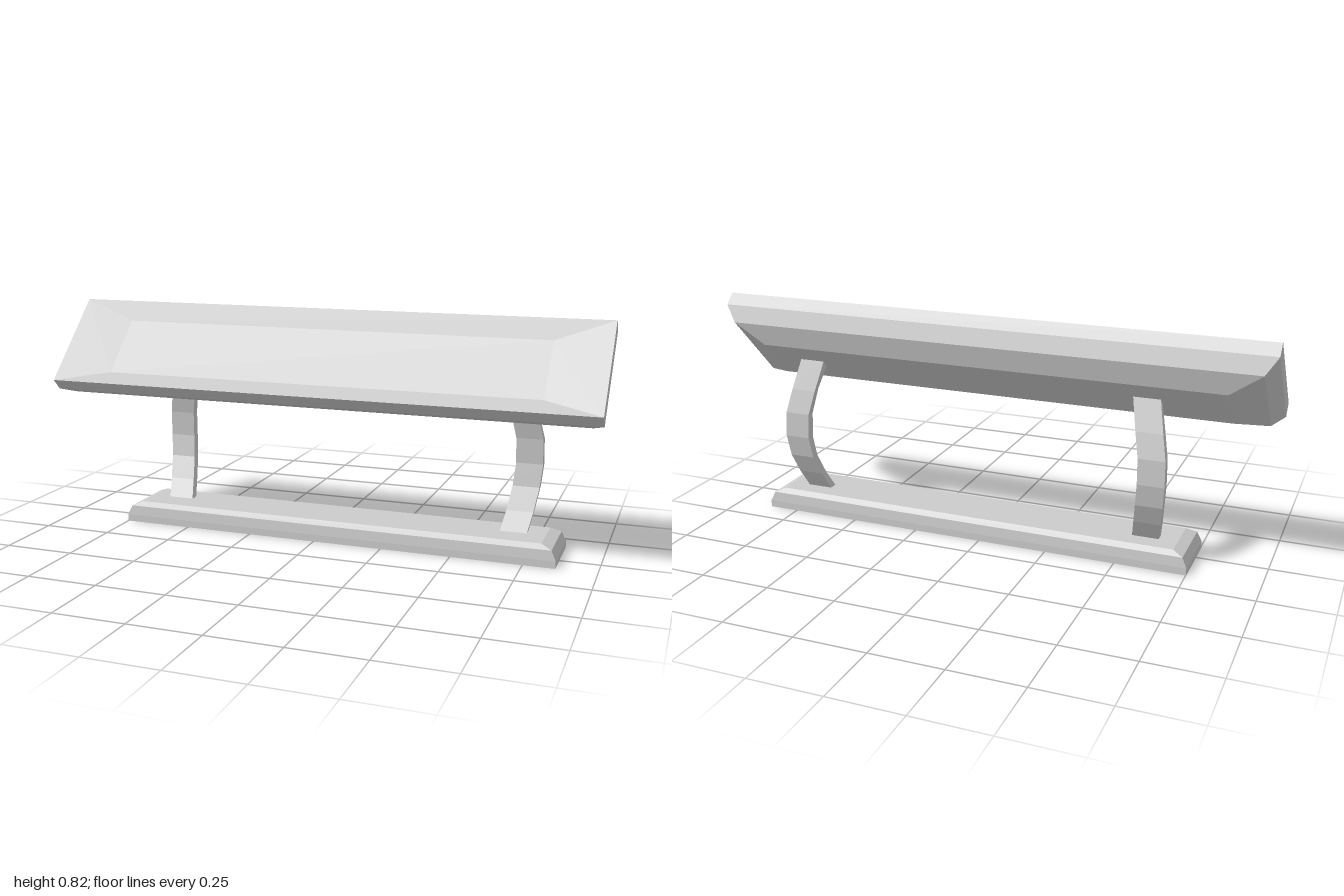
import * as THREE from 'three';

const material = new THREE.MeshStandardMaterial({ color: 0xcccccc, flatShading: true, side: THREE.DoubleSide });

// Skins a stack of four-cornered loops; each loop runs anticlockwise seen from the end of the stack
function loft(name, loops, capStart, capEnd) {
  const index = [];
  for (let i = 0; i < loops.length - 1; i++) {
    for (let j = 0; j < 4; j++) {
      const a = i * 4 + j, b = i * 4 + (j + 1) % 4;
      index.push(a, b, b + 4, a, b + 4, a + 4);
    }
  }
  const e = (loops.length - 1) * 4;
  if (capStart) index.push(0, 2, 1, 0, 3, 2);
  if (capEnd) index.push(e, e + 1, e + 2, e, e + 2, e + 3);
  const indexed = new THREE.BufferGeometry();
  indexed.setAttribute('position', new THREE.Float32BufferAttribute(loops.flat(2), 3));
  indexed.setIndex(index);
  const geometry = indexed.toNonIndexed();
  geometry.computeVertexNormals();
  const mesh = new THREE.Mesh(geometry, material);
  mesh.name = name;
  return mesh;
}

// Rectangle loop from half width, half height and offset along local z
const rect = ([w, h, z]) => [[-w, -h, z], [w, -h, z], [w, h, z], [-w, h, z]];

export function createModel() {
  const group = new THREE.Group();

  // Tilted panel: bevelled back, straight rim, shallow recessed face
  const panel = loft('panel', [
    [0.85, 0.096, -0.151],
    [0.96, 0.166, -0.109],
    [1, 0.195, -0.053],
    [1, 0.194, 0],
    [0.8, 0.122, -0.03],
  ].map(rect), true, true);
  panel.rotation.x = -Math.PI / 4;
  panel.position.set(0, 0.678, 0.03);
  group.add(panel);

  // Base: bevelled shell, open underneath, set slightly off centre
  const centreX = 0.055;
  const base = loft('base', [
    [0.806, 0.121, 0],
    [0.806, 0.12, 0.025],
    [0.79, 0.115, 0.06],
    [0.753, 0.096, 0.075],
  ].map(rect), false, true);
  base.rotation.x = -Math.PI / 2;
  base.position.set(centreX, 0, -0.031);
  group.add(base);

  // Bowed legs: sideways offset, front edge (z, y), back edge (z, y)
  const sections = [
    [0.635, -0.012, 0.045, -0.044, 0.045],
    [0.64, -0.03, 0.075, -0.062, 0.075],
    [0.653, -0.07, 0.14, -0.103, 0.145],
    [0.665, -0.108, 0.22, -0.138, 0.22],
    [0.672, -0.123, 0.3, -0.153, 0.3],
    [0.67, -0.118, 0.39, -0.148, 0.39],
    [0.653, -0.098, 0.48, -0.125, 0.475],
    [0.63, -0.06, 0.57, -0.086, 0.588],
  ];
  const half = 0.047;
  for (const side of [-1, 1]) {
    const loops = sections.map(([offset, zf, yf, zb, yb]) => {
      const x = centreX + side * offset;
      return [[x - half, yf, zf], [x + half, yf, zf], [x + half, yb, zb], [x - half, yb, zb]];
    });
    group.add(loft(side > 0 ? 'leftLeg' : 'rightLeg', loops, true, true));
  }

  return group;
}
